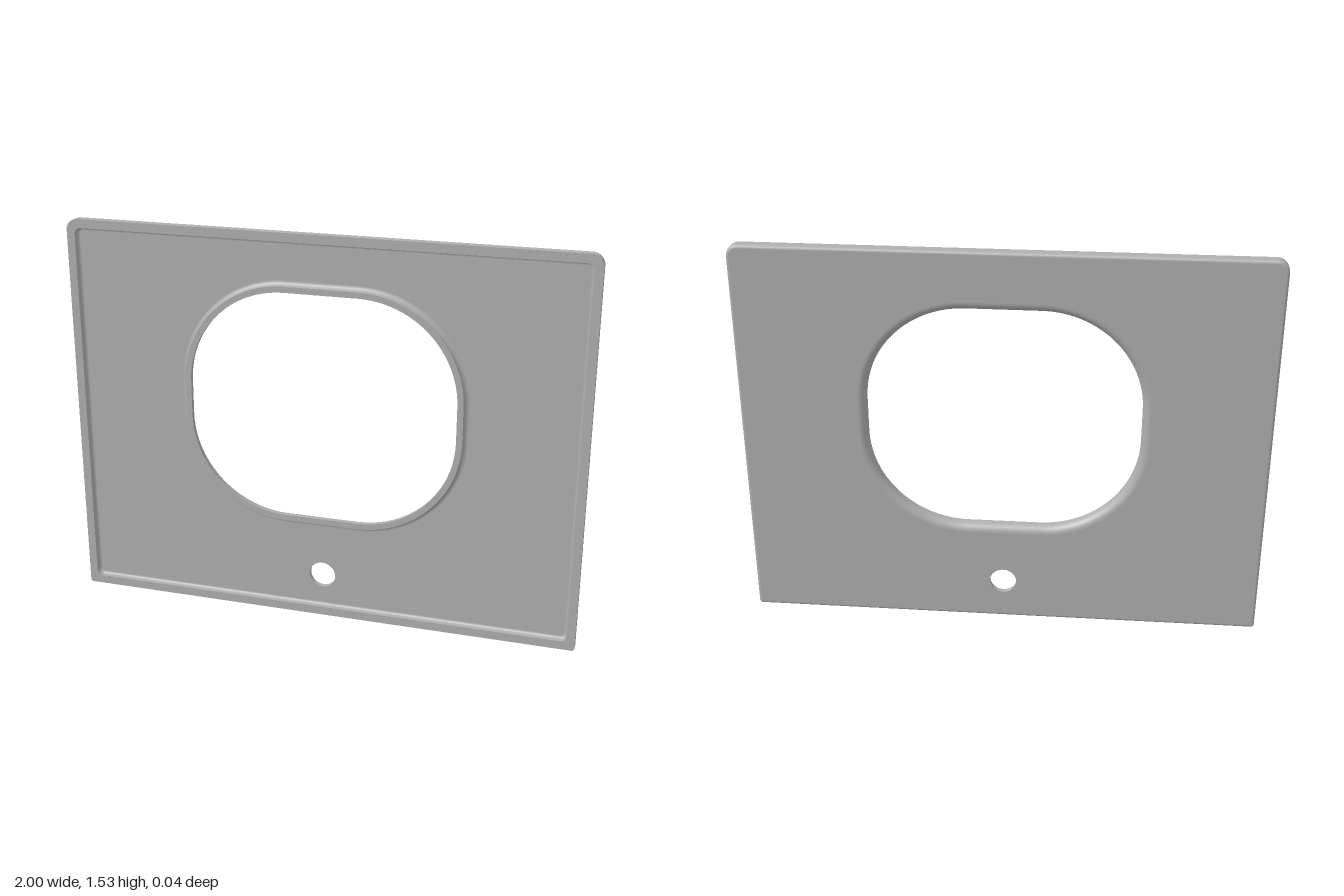
import * as THREE from 'three';

const BACK = -0.022, FRONT = 0.022, FLOOR = -0.002;

// Rounded rectangle outline, shrunk by d, counter-clockwise seen from the front
function outline({ hw, y0, y1, rTop, rBottom }, d) {
  const pts = [], steps = 20;
  const rt = Math.max(rTop - d, 0.002), rb = Math.max(rBottom - d, 0.002);
  const corners = [
    [hw - d - rb, y0 + d + rb, rb, -Math.PI / 2], [hw - d - rt, y1 - d - rt, rt, 0],
    [-(hw - d - rt), y1 - d - rt, rt, Math.PI / 2], [-(hw - d - rb), y0 + d + rb, rb, Math.PI],
  ];
  for (const [cx, cy, r, start] of corners) {
    for (let i = 0; i <= steps; i++) {
      const a = start + (i / steps) * Math.PI / 2;
      pts.push(new THREE.Vector2(cx + r * Math.cos(a), cy + r * Math.sin(a)));
    }
  }
  return pts;
}

// Band swept around an outline through a profile of [inset, z] pairs
function band(rect, profile) {
  const pos = [], index = [];
  let n = 0;
  for (const [d, z] of profile) {
    const loop = outline(rect, d);
    n = loop.length;
    for (const p of loop) pos.push(p.x, p.y, z);
  }
  for (let i = 0; i < profile.length - 1; i++) {
    for (let j = 0; j < n; j++) {
      const a = i * n + j, b = i * n + (j + 1) % n;
      index.push(a, b, b + n, a, b + n, a + n);
    }
  }
  const g = new THREE.BufferGeometry();
  g.setAttribute('position', new THREE.Float32BufferAttribute(pos, 3));
  g.setIndex(index);
  g.computeVertexNormals();
  return g;
}

// Quarter-circle profile about [d, z], from angle a0 to a1 in degrees
function arc(d, z, r, a0, a1, steps = 8) {
  return Array.from({ length: steps + 1 }, (_, i) => {
    const a = THREE.MathUtils.degToRad(a0 + (a1 - a0) * i / steps);
    return [d + r * Math.cos(a), z + r * Math.sin(a)];
  });
}

// Flat sheet with holes
function sheet(outer, holes) {
  const shape = new THREE.Shape(outer);
  for (const h of holes) shape.holes.push(new THREE.Path(h));
  return new THREE.ShapeGeometry(shape);
}

export function createModel() {
  const group = new THREE.Group();
  const grey = new THREE.MeshStandardMaterial({ color: 0xb0b0b0 });
  const add = (name, geometry) => {
    const mesh = new THREE.Mesh(geometry, grey);
    mesh.name = name;
    group.add(mesh);
    return mesh;
  };

  const plate = { hw: 1, y0: 0, y1: 1.53, rTop: 0.045, rBottom: 0.012 };
  const recess = { hw: 0.968, y0: 0.034, y1: 1.496, rTop: 0.025, rBottom: 0.025 };
  const lip = { hw: 0.54, y0: 0.393, y1: 1.331, rTop: 0.4, rBottom: 0.4 };
  const opening = { hw: 0.517, y0: 0.416, y1: 1.308, rTop: 0.377, rBottom: 0.377 };
  const screw = { hw: 0.052, y0: 0.113, y1: 0.217, rTop: 0.052, rBottom: 0.052 };
  const edge = 0.012, fillet = 0.012, lipFillet = 0.018, roll = 0.032;

  // Outer edge, rounded at the back
  add('outerEdgeRound', band(plate, arc(edge, BACK + edge, edge, 270, 180)));
  add('outerEdgeWall', band(plate, [[0, BACK + edge], [0, FRONT]]));

  // Raised front rim and its inner wall
  const rimGeometry = sheet(outline(plate, 0), [outline(recess, 0)]);
  add('frontRim', rimGeometry).position.z = FRONT;
  add('rimInnerWall', band(recess, [[0, FRONT], [0, FLOOR + fillet]]));
  add('rimFillet', band(recess, arc(fillet, FLOOR + fillet, fillet, 180, 270)));

  // Recessed front panel
  const front = sheet(outline(recess, fillet), [outline(lip, -lipFillet), outline(screw, 0)]);
  add('frontPanel', front).position.z = FLOOR;

  // Flange around the large opening
  add('flangeFillet', band(lip, arc(-lipFillet, FLOOR + lipFillet, lipFillet, 270, 360)));
  add('flangeOuterWall', band(lip, [[0, FLOOR + lipFillet], [0, FRONT]]));
  add('flangeLip', sheet(outline(lip, 0), [outline(opening, 0)])).position.z = FRONT;
  add('openingWall', band(opening, [[0, FRONT], [0, BACK + roll]]));
  add('openingRoundedEdge', band(opening, arc(-roll, BACK + roll, roll, 0, -90, 10)));

  // Small round hole
  add('smallHoleWall', band(screw, [[0, FLOOR], [0, BACK]]));

  // Flat back, turned to face rearward
  const back = add('backPanel', sheet(outline(plate, edge), [outline(opening, -roll), outline(screw, 0)]));
  back.rotation.y = Math.PI;
  back.position.z = BACK;

  return group;
}
